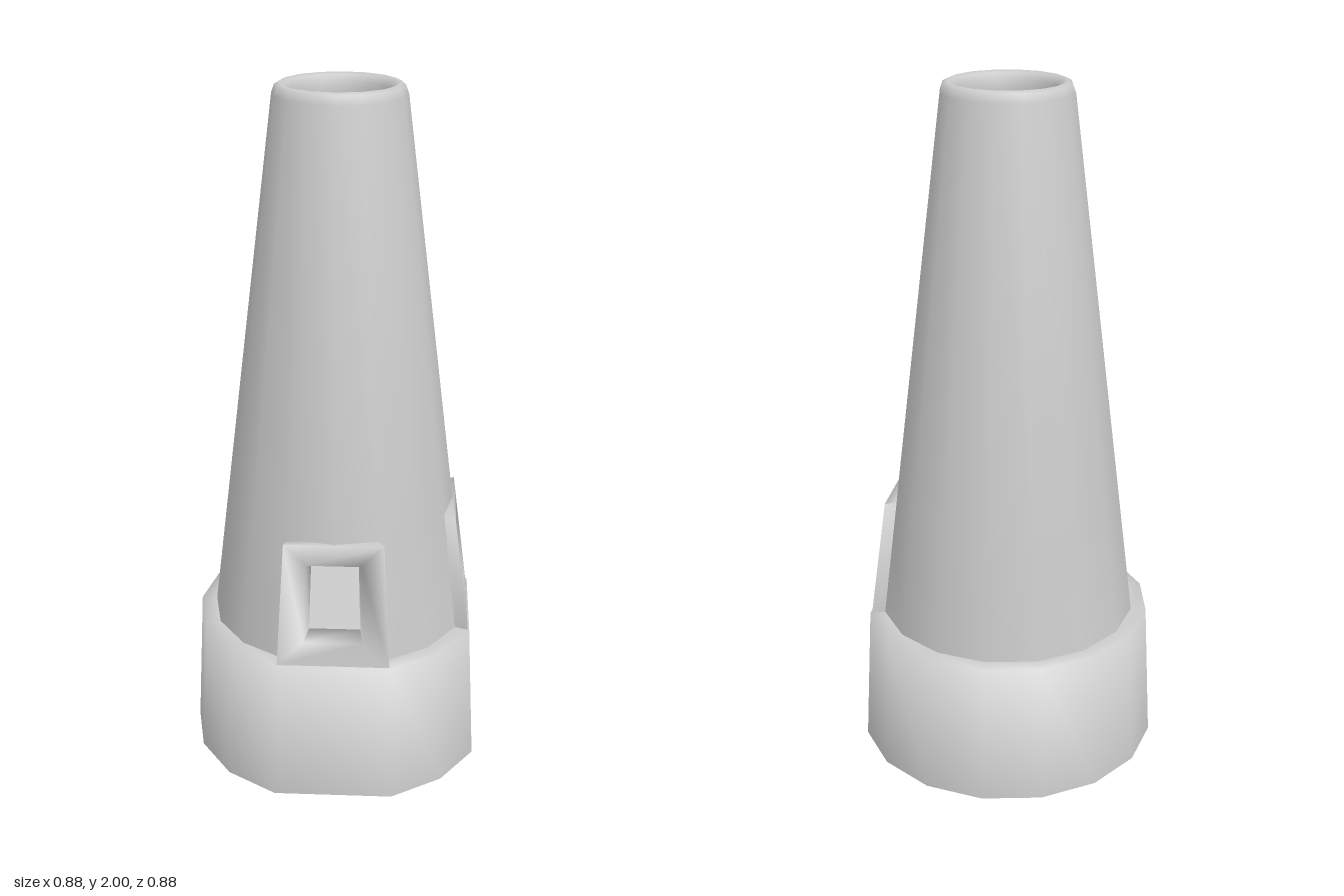
import * as THREE from 'three';
import { toCreasedNormals } from 'three/addons/utils/BufferGeometryUtils.js';

const SIDES = 16;
const WINDOWS = [1, 5];              // corners replaced by a flat window panel
const FLOOR_Y = 0.47, PANEL_Y = 0.78, LEDGE_Y = 0.42;
const allCorners = [...Array(SIDES).keys()];
const panelCorners = allCorners.filter((k) => !WINDOWS.includes(k));

const at = (k, r, y) => {
  const a = THREE.MathUtils.degToRad(13.3 + 22.5 * k);
  return new THREE.Vector3(r * Math.cos(a), y, r * Math.sin(a));
};
const bodyR = (y) => 0.38 - (y - LEDGE_Y) * 0.125;
const innerR = (y) => bodyR(y) - 0.05;
const panelR = (y) => 0.42 - (y - LEDGE_Y) * 0.139;

// Collects triangles and turns them into a named mesh
class Surface {
  constructor() { this.points = []; }
  tri(a, b, c) { this.points.push(a, b, c); }
  quad(a, b, c, d) { this.tri(a, b, c); this.tri(a, c, d); }
  // Sweeps a [radius, height] profile round the given corners
  sweep(profile, corners, skipWindows = false) {
    corners.forEach((k, i) => {
      const next = corners[(i + 1) % corners.length];
      if (skipWindows && (WINDOWS.includes(k) || WINDOWS.includes(next))) return;
      for (let j = 0; j + 1 < profile.length; j++) {
        const [p, q] = [profile[j], profile[j + 1]];
        this.quad(at(k, ...p), at(k, ...q), at(next, ...q), at(next, ...p));
      }
    });
  }
  // Joins two four-cornered loops
  bridge(a, b, edges = 4) {
    for (let i = 0; i < edges; i++) {
      const n = (i + 1) % 4;
      this.quad(a[i], a[n], b[n], b[i]);
    }
  }
  mesh(name, crease) {
    const geometry = new THREE.BufferGeometry().setFromPoints(this.points);
    geometry.computeVertexNormals();
    const mesh = new THREE.Mesh(
      toCreasedNormals(geometry, crease),
      new THREE.MeshStandardMaterial({ color: 0xcccccc, side: THREE.DoubleSide })
    );
    mesh.name = name;
    return mesh;
  }
}

// Rectangle on the flat panel between the two corners beside corner k
function panelLoop(k, radius, y0, y1, width = 1) {
  const point = (side, y) => {
    const t = 0.5 + side * width * 0.5;
    return at(k - 1, radius(y), y).lerp(at(k + 1, radius(y), y), t);
  };
  return [point(-1, y0), point(-1, y1), point(1, y1), point(1, y0)];
}

function windowFrame(k) {
  const s = new Surface();
  const loops = [
    panelLoop(k, bodyR, LEDGE_Y, PANEL_Y),
    panelLoop(k, panelR, LEDGE_Y, PANEL_Y),
    panelLoop(k, panelR, 0.49, 0.72, 0.54),
    panelLoop(k, innerR, 0.49, 0.72, 0.6),
    panelLoop(k, innerR, FLOOR_Y, PANEL_Y)
  ];
  // sides and top, front, reveal, inner face
  for (let i = 0; i < 4; i++) s.bridge(loops[i], loops[i + 1], i === 0 ? 3 : 4);
  // Caps between the flat panel and the rounder wall above
  for (const radius of [bodyR, innerR]) {
    const r = radius(PANEL_Y);
    s.tri(at(k - 1, r, PANEL_Y), at(k + 1, r, PANEL_Y), at(k, r, PANEL_Y));
  }
  return s.mesh(k === 1 ? 'leftWindowFrame' : 'rightWindowFrame', 1.7);
}

export function createModel() {
  const group = new THREE.Group();
  group.name = 'taperedTower';

  // Open skirt with its ledge
  const skirt = new Surface();
  skirt.sweep([[0.447, 0], [0.425, LEDGE_Y], [bodyR(LEDGE_Y), LEDGE_Y]], panelCorners);
  group.add(skirt.mesh('skirt', 1.7));

  // Hollow tapered body with a rounded rim
  const body = new Surface();
  const step = (radius, y) => [radius(y), y];
  body.sweep([step(bodyR, LEDGE_Y), step(bodyR, PANEL_Y)], allCorners, true);
  body.sweep([
    step(bodyR, PANEL_Y), step(bodyR, 1.97), [0.178, 1.993], [0.165, 2],
    [0.15, 1.995], [0.139, 1.975], step(innerR, 1.94), step(innerR, PANEL_Y)
  ], allCorners);
  body.sweep([step(innerR, PANEL_Y), step(innerR, FLOOR_Y)], allCorners, true);
  group.add(body.mesh('body', 1.2));

  // Floor inside the tube
  const floor = new Surface();
  floor.sweep([[bodyR(FLOOR_Y) - 0.003, FLOOR_Y], [0, FLOOR_Y]], panelCorners);
  group.add(floor.mesh('innerFloor', 0.5));

  for (const k of WINDOWS) group.add(windowFrame(k));
  return group;
}
